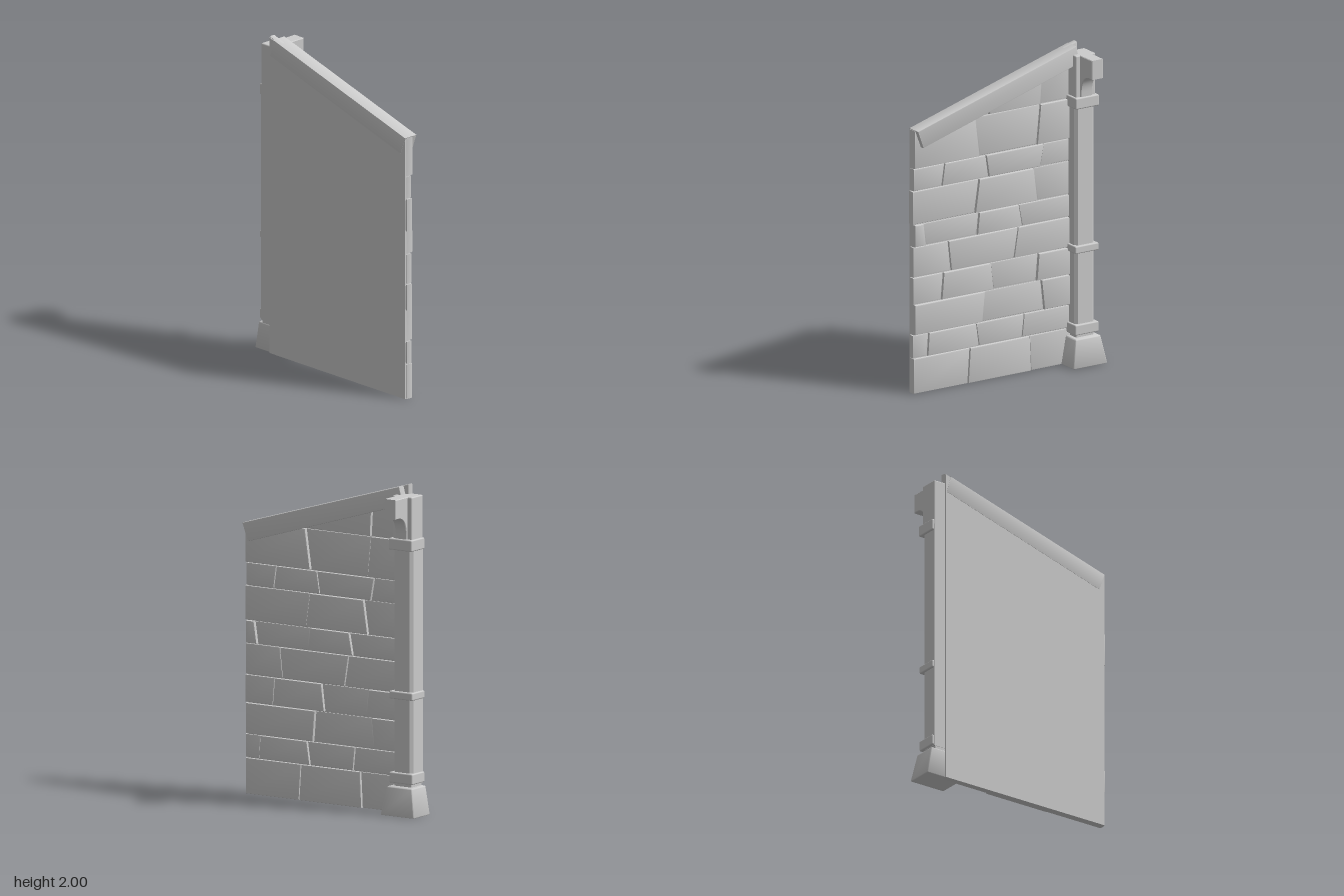
import * as THREE from 'three';
import { toCreasedNormals } from 'three/addons/utils/BufferGeometryUtils.js';
import { RoundedBoxGeometry } from 'three/addons/geometries/RoundedBoxGeometry.js';

const material = new THREE.MeshStandardMaterial({ color: 0xcccccc });

// Sloping top edge of the wall
const slopeY = (z) => 1.645 + (0.65 - z) * 0.3;

// Extrude a [z, y] outline along x from x0 to x1 with softened edges
function slab(points, x0, x1, bevel) {
  const shape = new THREE.Shape(points.map(([z, y]) => new THREE.Vector2(-z, y)));
  const geo = new THREE.ExtrudeGeometry(shape, {
    depth: x1 - x0 - 2 * bevel,
    bevelEnabled: bevel > 0,
    bevelSize: bevel,
    bevelThickness: bevel,
    bevelOffset: -bevel,
    bevelSegments: 2,
  });
  geo.translate(0, 0, x0 + bevel);
  geo.rotateY(Math.PI / 2);
  return toCreasedNormals(geo, 0.7);
}

function box(x0, x1, y0, y1, z0, z1, radius) {
  const geo = new RoundedBoxGeometry(x1 - x0, y1 - y0, z1 - z0, 2, radius);
  return geo.translate((x0 + x1) / 2, (y0 + y1) / 2, (z0 + z1) / 2);
}

export function createModel() {
  const model = new THREE.Group();
  const add = (name, geo, parent = model) => {
    const mesh = new THREE.Mesh(geo, material);
    mesh.name = name;
    parent.add(mesh);
    return mesh;
  };

  // Flat backing behind the stones
  add('wallBacking', slab(
    [[0.642, 0], [-0.525, 0], [-0.525, slopeY(-0.525) - 0.005], [0.642, 1.64]], -0.127, -0.085, 0));

  // Stone courses: heights, and slanted joints as [z at bottom, z at top]
  const courses = [0, 0.22, 0.365, 0.555, 0.725, 0.915, 1.055, 1.265, 1.405, 1.655];
  const joints = [
    [[0.26, 0.245], [-0.195, -0.185]],
    [[0.55, 0.54], [0.18, 0.2], [-0.13, -0.145]],
    [[0.155, 0.14], [-0.285, -0.265]],
    [[0.45, 0.435], [0.075, 0.095], [-0.23, -0.245]],
    [[0.38, 0.4], [-0.07, -0.1]],
    [[0.56, 0.58], [0.195, 0.18], [-0.13, -0.105]],
    [[0.21, 0.18], [-0.24, -0.21]],
    [[0.445, 0.425], [0.11, 0.13], [-0.26, -0.285]],
    [[0.175, 0.21], [-0.235, -0.26]],
    [[0.11, 0.11], [-0.26, -0.275]],
  ];
  const stones = new THREE.Group();
  stones.name = 'stones';
  model.add(stones);
  const gap = 0.002;
  joints.forEach((row, r) => {
    const sloped = r === joints.length - 1;
    const start = sloped ? 0.45 : 0.65 + 0.006 * Math.sin(r * 2.3);
    const edges = [[start, start], ...row, [-0.53, -0.53]];
    const y0 = courses[r] + (r ? gap : 0);
    for (let i = 0; i < edges.length - 1; i++) {
      const [a, b] = [edges[i], edges[i + 1]];
      const top = (z) => (sloped ? slopeY(z) : Math.min(courses[r + 1] - gap, slopeY(z)));
      const front = -0.072 + 0.008 * Math.sin(r * 4.1 + i * 2.7);
      add('stone', slab([
        [a[0] - gap, y0], [b[0] + gap, y0],
        [b[1] + gap, top(b[1])], [a[1] - gap, top(a[1])],
      ], -0.122, front, 0.008), stones);
    }
  });

  // Sloping coping beam
  add('copingBeam', slab(
    [[0.605, 1.54], [-0.52, 1.878], [-0.49, 1.987], [0.645, 1.65]], -0.13, -0.033, 0.006));

  // Column shaft with chamfered corners
  const cz = -0.535;
  const c = 0.018;
  const [xa, xb, h] = [-0.12, -0.002, 0.07];
  const section = new THREE.Shape([
    [xa, -h], [xb - c, -h], [xb, -h + c], [xb, h - c], [xb - c, h], [xa, h],
  ].map(([x, z]) => new THREE.Vector2(x, z)));
  const shaft = new THREE.ExtrudeGeometry(section, { depth: 1.46, bevelEnabled: false });
  shaft.rotateX(-Math.PI / 2).translate(0, 0.19, cz);
  add('columnShaft', shaft);
  add('columnNeck', box(-0.118, -0.008, 0.15, 0.21, cz - 0.062, cz + 0.062, 0.004));
  add('columnHead', box(-0.12, 0, 1.64, 1.937, cz - 0.07, cz + 0.07, 0.008));

  // Bands around the column
  for (const [y0, y1, x1] of [[0.195, 0.26, 0.016], [0.705, 0.752, 0.016], [1.61, 1.68, 0.022]]) {
    add('columnBand', box(-0.118, x1, y0, y1, cz - 0.084, cz + 0.084, 0.008));
  }

  // Tapered foot, upright on the wall side
  const foot = box(-0.12, 0.054, 0, 0.175, cz - 0.122, cz + 0.122, 0.008);
  const p = foot.attributes.position;
  for (let i = 0; i < p.count; i++) {
    const t = p.getY(i) / 0.175;
    p.setX(i, -0.12 + (p.getX(i) + 0.12) * (1 - 0.15 * t));
    p.setZ(i, cz + (p.getZ(i) - cz) * (1 - 0.27 * t));
  }
  add('columnFoot', toCreasedNormals(foot, 0.7));

  // Corbel arm with a concave underside
  const arm = new THREE.Shape();
  arm.moveTo(-0.04, 1.66);
  arm.lineTo(0.01, 1.66);
  arm.lineTo(0.012, 1.71);
  arm.bezierCurveTo(0.015, 1.775, 0.045, 1.815, 0.095, 1.817);
  arm.lineTo(0.128, 1.817);
  arm.lineTo(0.128, 1.937);
  arm.lineTo(-0.04, 1.937);
  const armGeo = new THREE.ExtrudeGeometry(arm, {
    depth: 0.074, bevelSize: 0.004, bevelThickness: 0.004, bevelOffset: -0.004, bevelSegments: 1, curveSegments: 10,
  });
  armGeo.translate(0, 0, cz - 0.037);
  add('corbelArm', toCreasedNormals(armGeo, 0.6));

  return model;
}
